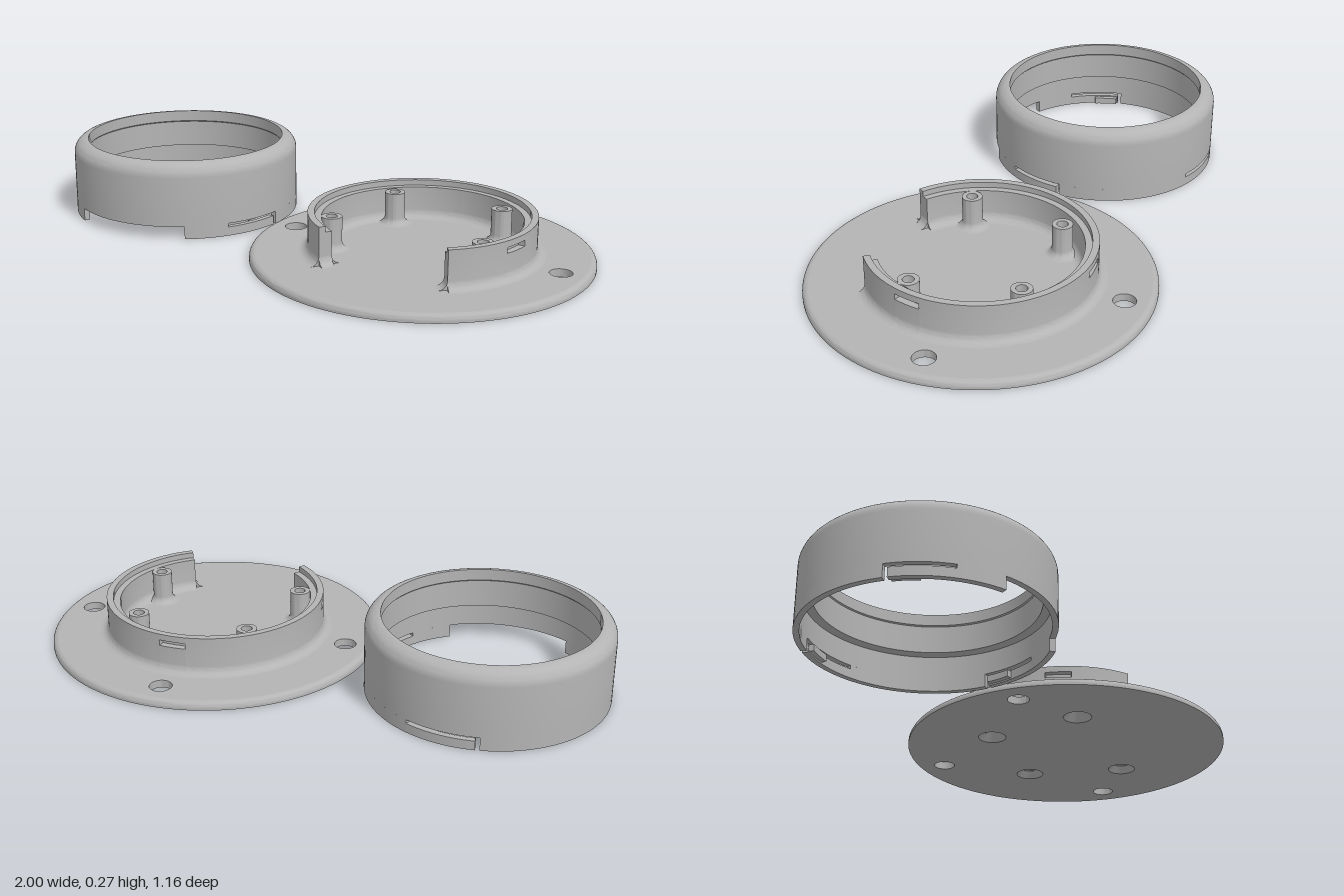
import * as THREE from 'three';
import { mergeGeometries, toCreasedNormals } from 'three/addons/utils/BufferGeometryUtils.js';

const RAD = Math.PI / 180;
const grey = new THREE.MeshStandardMaterial({ color: 0xb4b4b4 });
grey.name = 'matte grey';

function addMesh(parent, name, geometry) {
  const mesh = new THREE.Mesh(geometry, grey);
  mesh.name = name;
  parent.add(mesh);
  return mesh;
}

// Solid swept round the y axis from a closed [radius, y] section (counter-clockwise).
// Angles in degrees run from +z towards +x.
function sweep(section, from = 0, to = 360) {
  const pts = section.map(([r, y]) => new THREE.Vector2(r, y));
  const span = to - from;
  const steps = Math.max(1, Math.ceil(span / 3));
  const skin = new THREE.LatheGeometry([...pts, pts[0].clone()], steps, from * RAD, span * RAD);
  const parts = [skin.toNonIndexed()];
  if (span < 360) {
    const start = new THREE.ShapeGeometry(new THREE.Shape(pts));
    const end = start.clone();
    end.setIndex(Array.from(start.index.array).reverse());
    start.rotateY((from - 90) * RAD);
    end.rotateY((to - 90) * RAD);
    parts.push(start.toNonIndexed(), end.toNonIndexed());
  }
  return toCreasedNormals(mergeGeometries(parts), 0.5);
}

const band = (r0, r1, y0, y1) => [[r1, y0], [r1, y1], [r0, y1], [r0, y0]];

// Points along an arc in the section plane
function arc(cx, cy, r, a0, a1, n = 8) {
  return Array.from({ length: n + 1 }, (_, i) => {
    const a = (a0 + (a1 - a0) * i / n) * RAD;
    return [cx + r * Math.cos(a), cy + r * Math.sin(a)];
  });
}

function circlePath(x, y, r) {
  const path = new THREE.Path();
  path.absarc(x, y, r, 0, Math.PI * 2, true);
  return path;
}

const PLATE_R = 0.579, PLATE_H = 0.027, EDGE = 0.02;
const POSTS = [[-0.2, -0.212], [0.2, -0.212], [-0.27, 0.135], [0.27, 0.135]];
const SCREW_HOLES = [[0, -0.485], [-0.485, -0.005], [0.485, -0.005]];
const CATCHES = [75, 180, 285];

function makeBase() {
  const base = new THREE.Group();
  base.name = 'mountingBase';

  // Flat plate with screw holes and openings under the posts
  const disc = new THREE.Shape();
  disc.absarc(0, 0, PLATE_R - EDGE, 0, Math.PI * 2, false);
  for (const [x, z] of SCREW_HOLES) disc.holes.push(circlePath(x, -z, 0.038));
  for (const [x, z] of POSTS) disc.holes.push(circlePath(x, -z, 0.05));
  const plate = new THREE.ExtrudeGeometry(disc, { depth: PLATE_H, bevelEnabled: false, curveSegments: 60 });
  plate.rotateX(-Math.PI / 2);
  addMesh(base, 'plate', toCreasedNormals(plate, 0.5));
  addMesh(base, 'plateRoundedRim', sweep([
    [PLATE_R - EDGE, 0], [PLATE_R, 0],
    ...arc(PLATE_R - EDGE, PLATE_H - EDGE, EDGE, 0, 90),
  ]));

  // Screw posts, hollow, countersunk from below
  const post = sweep([
    [0.05, 0], [0.05, PLATE_H],
    ...arc(0.06, PLATE_H + 0.025, 0.025, 270, 180, 6),
    [0.035, 0.14], [0.019, 0.14], [0.019, 0.045],
  ]);
  for (const [x, z] of POSTS) addMesh(base, 'screwPost', post).position.set(x, 0, z);

  // Open circular wall with a stepped top and outside catch grooves
  const f = 0.03, y0 = PLATE_H - 0.002;
  const wallSection = (groove) => [
    [0.337 - f, y0], [0.383 + f, y0],
    ...arc(0.383 + f, PLATE_H + f, f, 270, 180, 6),
    ...(groove ? [[0.383, 0.118], [0.36, 0.118], [0.36, 0.138], [0.383, 0.138]] : []),
    [0.383, 0.16], [0.36, 0.16], [0.36, 0.14], [0.337, 0.14],
    ...arc(0.337 - f, PLATE_H + f, f, 0, -90, 6),
  ];
  const cuts = [36, ...CATCHES.flatMap((c) => [c - 7, c + 7]), 324];
  for (let i = 0; i < cuts.length - 1; i++) {
    const groove = i % 2 === 1;
    addMesh(base, groove ? 'wallCatchGroove' : 'wall', sweep(wallSection(groove), cuts[i], cuts[i + 1]));
  }

  // Fillets at the two wall ends
  const foot = new THREE.Shape([[0, y0], [f, y0], ...arc(f, PLATE_H + f, f, 270, 180, 6)]
    .map(([x, y]) => new THREE.Vector2(x, y)));
  for (const side of [-1, 1]) {
    const fillet = new THREE.ExtrudeGeometry(foot, { depth: 0.046, bevelEnabled: false });
    fillet.translate(0, 0, -0.023);
    if (side < 0) fillet.rotateY(Math.PI);
    const mesh = addMesh(base, 'wallEndFillet', toCreasedNormals(fillet, 0.5));
    const a = side * 36 * RAD;
    mesh.position.set(0.36 * Math.sin(a), 0, 0.36 * Math.cos(a));
    mesh.rotation.y = a + Math.PI;
  }
  return base;
}

function makeCap() {
  const cap = new THREE.Group();
  cap.name = 'coverRing';
  const R = 0.409, IN = 0.389, SKIRT = 0.045;

  // Ring body with a rounded shoulder and an inner shelf
  addMesh(cap, 'ringBody', sweep([
    [R, SKIRT], ...arc(R - 0.05, 0.22, 0.05, 0, 90, 10),
    [0.357, 0.27], [0.357, 0.23], [0.361, 0.226], [0.361, 0.13], [IN, 0.125], [IN, SKIRT],
  ]));

  // Skirt between the front opening and the catch slits
  for (const [a, b] of [[32, 54], [84, 154], [189, 276], [306, 328]]) {
    addMesh(cap, 'skirt', sweep(band(IN, R, 0, SKIRT), a, b));
  }

  // Springy tabs below the slits, with catches on the inside
  for (const [a, b] of [[54, 82], [154, 187], [278, 306]]) {
    addMesh(cap, 'springTab', sweep(band(IN, R, 0, 0.032), a, b));
  }
  for (const c of CATCHES) {
    addMesh(cap, 'innerCatch', sweep(band(IN - 0.018, IN + 0.002, 0.005, 0.028), c - 6.5, c + 6.5));
  }
  return cap;
}

export function createModel() {
  const model = new THREE.Group();
  model.name = 'ringCoverAndBase';
  const base = makeBase();
  base.position.set(0.421, 0, 0);
  const cap = makeCap();
  cap.position.set(-0.591, 0, -0.112);
  model.add(base, cap);
  return model;
}
